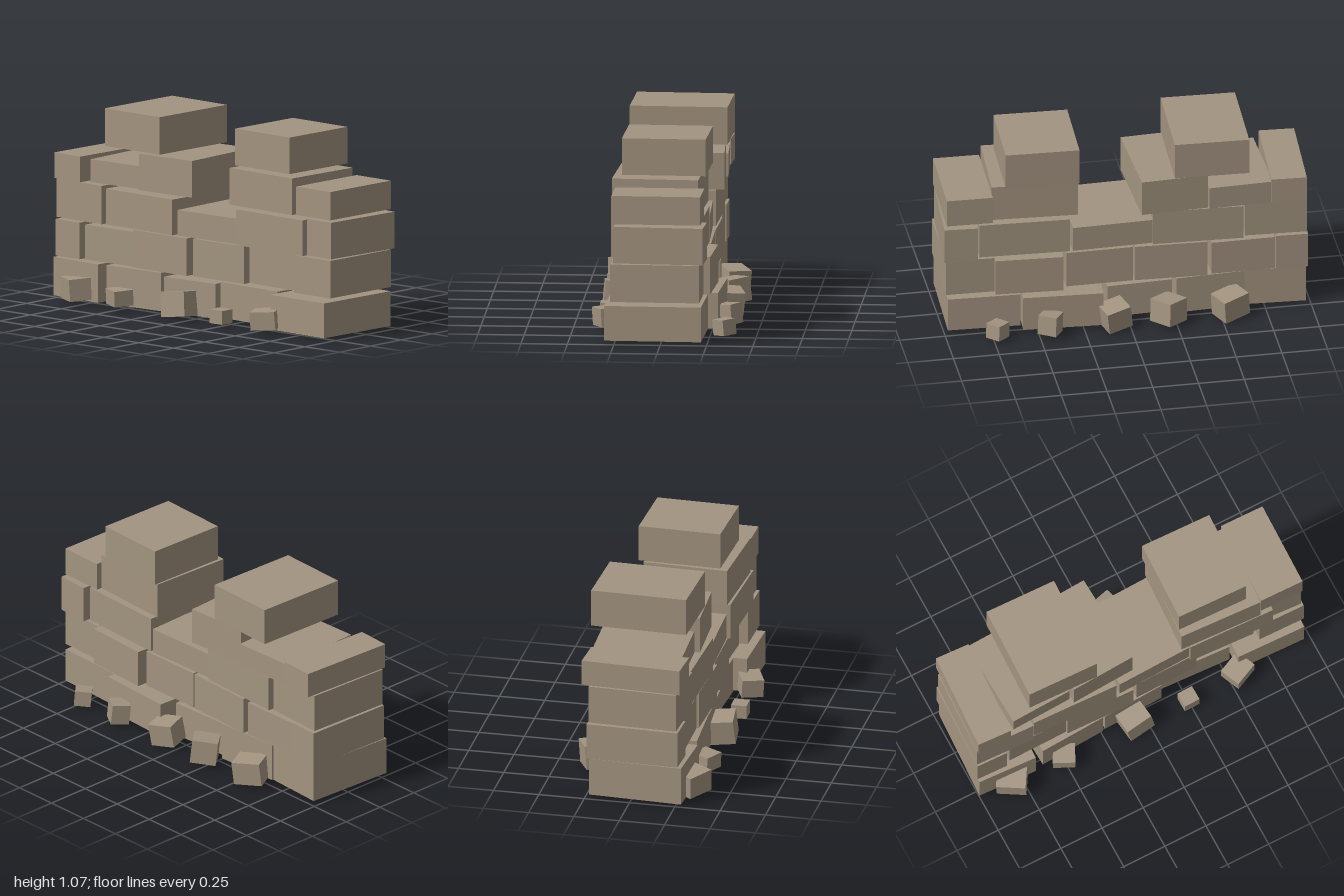
import * as THREE from 'three';

// Courses of the wall: y of the bed, then blocks [x0, x1, top, zBack, zFront, yaw]
const COURSES = [
  { bed: 0.02, blocks: [
    [-1.0, -0.64, 0.23, -0.23, 0.3, -0.05],
    [-0.64, -0.24, 0.23, -0.24, 0.285, 0.05],
    [-0.245, 0.13, 0.21, -0.225, 0.26, 0.045],
    [0.12, 0.58, 0.215, -0.305, 0.22, -0.05],
    [0.57, 0.98, 0.21, -0.23, 0.305, -0.03],
  ] },
  { bed: 0.235, blocks: [
    [-1.0, -0.81, 0.435, -0.24, 0.27, -0.03],
    [-0.805, -0.455, 0.425, -0.23, 0.25, 0.01],
    [-0.45, -0.04, 0.44, -0.24, 0.27, -0.03],
    [-0.03, 0.34, 0.44, -0.23, 0.25, 0.01],
    [0.335, 0.725, 0.44, -0.27, 0.22, -0.05],
    [0.715, 0.99, 0.44, -0.215, 0.27, -0.02],
  ] },
  { bed: 0.445, blocks: [
    [-1.0, -0.645, 0.655, -0.23, 0.27, -0.04],
    [-0.65, -0.14, 0.64, -0.24, 0.27, -0.035],
    [-0.145, 0.31, 0.585, -0.22, 0.255, 0.03],
    [0.295, 0.805, 0.64, -0.22, 0.28, -0.035],
    [0.79, 1.0, 0.645, -0.24, 0.255, -0.06],
  ] },
  { bed: 0.66, blocks: [
    [-1.0, -0.78, 0.8, -0.27, 0.285, -0.05],
    [-0.79, -0.42, 0.785, -0.27, 0.24, 0.04],
    [-0.435, -0.045, 0.86, -0.275, 0.255, 0.05],
    [0.245, 0.735, 0.86, -0.21, 0.28, -0.05],
    [0.725, 0.985, 0.815, -0.22, 0.265, -0.02],
  ] },
  { bed: 0.87, blocks: [
    [-0.67, -0.25, 1.075, -0.29, 0.25, -0.03],
    [0.25, 0.665, 1.07, -0.235, 0.23, -0.03],
  ] },
];

// Fallen stones: [x, y, z, width, height, depth, pitch, yaw, roll]
const RUBBLE = [
  [-0.81, 0.085, 0.3, 0.16, 0.12, 0.14, 0.06, -0.55, 0.07],
  [-0.5, 0.075, 0.31, 0.12, 0.085, 0.11, 0.05, -0.45, 0.0],
  [-0.07, 0.087, 0.305, 0.155, 0.135, 0.14, -0.1, 0.1, 0.12],
  [0.247, 0.06, 0.33, 0.09, 0.075, 0.085, 0.0, 0.02, 0.0],
  [0.555, 0.078, 0.315, 0.14, 0.1, 0.12, 0.05, 0.42, 0.05],
  [-0.55, 0.08, -0.295, 0.16, 0.13, 0.13, -0.05, 0.45, -0.08],
  [-0.21, 0.085, -0.31, 0.14, 0.13, 0.14, 0.08, 0.7, 0.05],
  [0.085, 0.083, -0.315, 0.14, 0.125, 0.13, -0.08, 0.3, -0.12],
  [0.44, 0.078, -0.335, 0.105, 0.11, 0.1, 0.12, -0.55, 0.06],
  [0.727, 0.06, -0.328, 0.09, 0.085, 0.088, 0.06, 0.75, 0.04],
];

export function createModel() {
  const group = new THREE.Group();
  group.name = 'ruinedStoneWall';
  const stone = new THREE.MeshStandardMaterial({ color: 0xa39480 });
  stone.name = 'stone';

  const addBox = (parent, name, w, h, d) => {
    const mesh = new THREE.Mesh(new THREE.BoxGeometry(w, h, d), stone);
    mesh.name = name;
    parent.add(mesh);
    return mesh;
  };

  // Wall blocks, each turned slightly inside its given extents
  COURSES.forEach(({ bed, blocks }, row) => {
    const course = new THREE.Group();
    course.name = `course${row + 1}`;
    group.add(course);
    blocks.forEach(([x0, x1, top, z0, z1, yaw], i) => {
      const c = Math.cos(yaw), s = Math.abs(Math.sin(yaw)), k = c * c - s * s;
      const w = ((x1 - x0) * c - (z1 - z0) * s) / k;
      const d = ((z1 - z0) * c - (x1 - x0) * s) / k;
      const block = addBox(course, `block${i + 1}`, w, top - bed, d);
      block.position.set((x0 + x1) / 2, (bed + top) / 2, (z0 + z1) / 2);
      block.rotation.y = yaw;
    });
  });

  // Rubble along both feet of the wall
  const rubble = new THREE.Group();
  rubble.name = 'rubble';
  group.add(rubble);
  RUBBLE.forEach(([x, y, z, w, h, d, rx, ry, rz], i) => {
    const rock = addBox(rubble, `rubbleStone${i + 1}`, w, h, d);
    rock.position.set(x, y, z);
    rock.rotation.set(rx, ry, rz);
  });

  return group;
}
